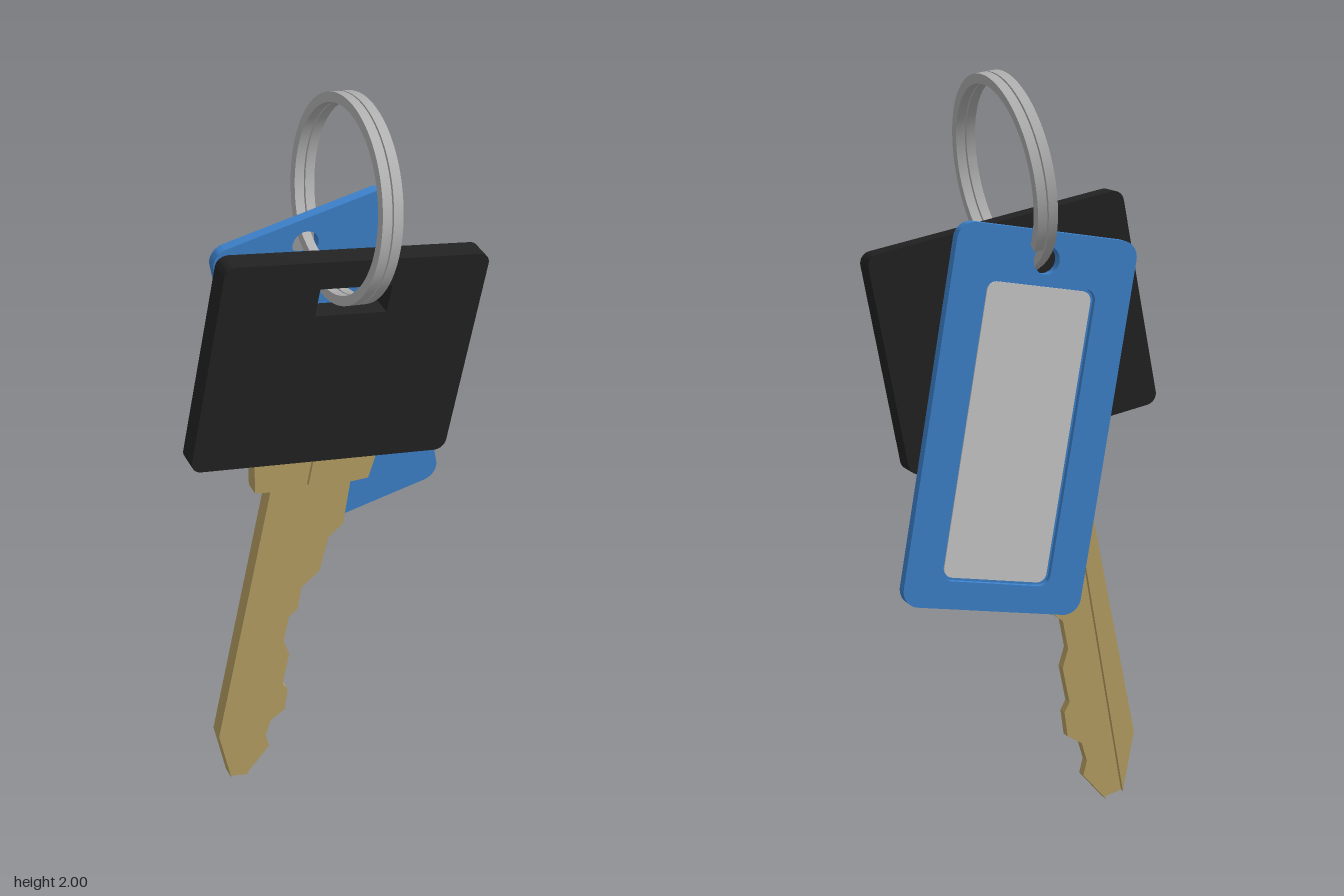
import * as THREE from 'three';
import { toCreasedNormals } from 'three/addons/utils/BufferGeometryUtils.js';

const mat = (name, color, side = THREE.FrontSide) => {
  const m = new THREE.MeshStandardMaterial({ color, side });
  m.name = name;
  return m;
};

// Traces a rounded rectangle centred on (cx, cy)
function roundedRect(path, w, h, r, cx = 0, cy = 0) {
  const x = w / 2 - r, y = h / 2 - r;
  path.moveTo(cx + x + r, cy - y);
  [[x, y], [-x, y], [-x, -y], [x, -y]].forEach(([px, py], i) =>
    path.absarc(cx + px, cy + py, r, i * Math.PI / 2, (i + 1) * Math.PI / 2, false));
  path.closePath();
  return path;
}

// Flat plate from a shape, spanning z0..z1
function plate(name, shape, z0, z1, material) {
  const geo = new THREE.ExtrudeGeometry(shape, { depth: z1 - z0, bevelEnabled: false, curveSegments: 8 });
  geo.translate(0, 0, z0);
  const mesh = new THREE.Mesh(toCreasedNormals(geo, 0.5), material);
  mesh.name = name;
  return mesh;
}

const polygon = pts => new THREE.Shape(pts.map(p => new THREE.Vector2(...p)));

// Square wire wound almost two turns, stepping sideways once near the bottom
function splitRingGeometry(R, half, gap) {
  const pos = [], idx = [], steps = 160, end = 4 * Math.PI - 0.85;
  const corners = [[-1, -1], [1, -1], [1, 1], [-1, 1]];
  for (let i = 0; i <= steps; i++) {
    const a = end * i / steps;
    const off = (THREE.MathUtils.smoothstep(a, 2 * Math.PI - 0.95, 2 * Math.PI + 0.05) * 2 - 1) * gap;
    for (const [u, v] of corners) {
      const r = R + v * half;
      pos.push(off + u * half, -r * Math.cos(a), r * Math.sin(a));
    }
    if (i < steps) for (let k = 0; k < 4; k++) {
      const p = i * 4 + k, q = i * 4 + (k + 1) % 4;
      idx.push(p, p + 4, q, q, p + 4, q + 4);
    }
  }
  const e = steps * 4;
  idx.push(0, 1, 2, 0, 2, 3, e, e + 2, e + 1, e, e + 3, e + 2);
  const geo = new THREE.BufferGeometry();
  geo.setAttribute('position', new THREE.Float32BufferAttribute(pos, 3));
  geo.setIndex(idx);
  return toCreasedNormals(geo, 0.5);
}

export function createModel() {
  const black = mat('black plastic', 0x222222);
  const blue = mat('blue plastic', 0x3d82cc);
  const brass = mat('brass', 0xb8a064);
  const steel = mat('steel', 0xb0b0b0, THREE.DoubleSide);
  const paper = mat('grey label', 0xcacaca);
  const model = new THREE.Group();
  model.name = 'keyring';

  // Key head with slot
  const headShape = roundedRect(new THREE.Shape(), 0.72, 0.585, 0.03);
  headShape.holes.push(polygon([[0, 0.142], [0.197, 0.142], [0.197, 0.218], [0, 0.218]]
    .map(([x, y]) => [x - 0.098, y])));
  const head = plate('keyHead', headShape, 0.03, 0.09, black);
  head.position.set(0, 1.33, 0);
  head.rotation.z = -0.192;

  // Key blade: spine, milled groove, shoulder and thinner bitting
  const blade = new THREE.Group();
  blade.name = 'keyBlade';
  blade.add(
    plate('bladeSpine', polygon([[-0.235, 1.11], [-0.235, 0.99], [-0.193, 0.98], [-0.357, 0.185],
      [-0.325, 0.016], [-0.13, 1.11]]), 0.043, 0.085, brass),
    plate('bladeGroove', polygon([[-0.13, 1.11], [-0.325, 0.016], [-0.272, 0.002],
      [-0.087, 0.97], [-0.06, 1.11]]), 0.055, 0.076, brass),
    plate('bladeShoulder', polygon([[-0.087, 0.97], [0.04, 0.945], [0.082, 0.943], [0.103, 1.01],
      [0.12, 1.1], [-0.06, 1.11]]), 0.043, 0.085, brass),
    plate('bladeBitting', polygon([[-0.087, 0.97], [-0.272, 0.002], [-0.204, 0.08], [-0.214, 0.122],
      [-0.198, 0.175], [-0.156, 0.2], [-0.146, 0.27], [-0.161, 0.297], [-0.14, 0.397],
      [-0.156, 0.45], [-0.14, 0.53], [-0.114, 0.551], [-0.103, 0.62], [-0.05, 0.662],
      [-0.024, 0.768], [0.018, 0.8], [0.04, 0.945]]), 0.043, 0.07, brass));

  // Tag: solid front sheet, back frame with a recessed label
  const tag = new THREE.Group();
  tag.name = 'tag';
  const tagShape = () => {
    const s = roundedRect(new THREE.Shape(), 0.495, 0.975, 0.045);
    s.holes.push(new THREE.Path().absarc(0, 0.415, 0.036, 0, Math.PI * 2, true));
    return s;
  };
  const frame = tagShape();
  frame.holes.push(roundedRect(new THREE.Path(), 0.3, 0.77, 0.03, 0, -0.03));
  tag.add(
    plate('tagFront', tagShape(), 0, 0.014, blue),
    plate('tagFrame', frame, -0.014, 0, blue),
    plate('tagLabel', roundedRect(new THREE.Shape(), 0.286, 0.756, 0.025, 0, -0.03), -0.004, 0.001, paper));
  tag.position.set(0.0775, 1.135, -0.157);
  tag.rotation.z = 0.17;

  // Split ring
  const ring = new THREE.Mesh(splitRingGeometry(0.246, 0.0125, 0.0145), steel);
  ring.name = 'splitRing';
  ring.position.set(0.05, 1.743, 0);
  ring.rotation.z = -0.15;

  model.add(head, blade, tag, ring);
  return model;
}
